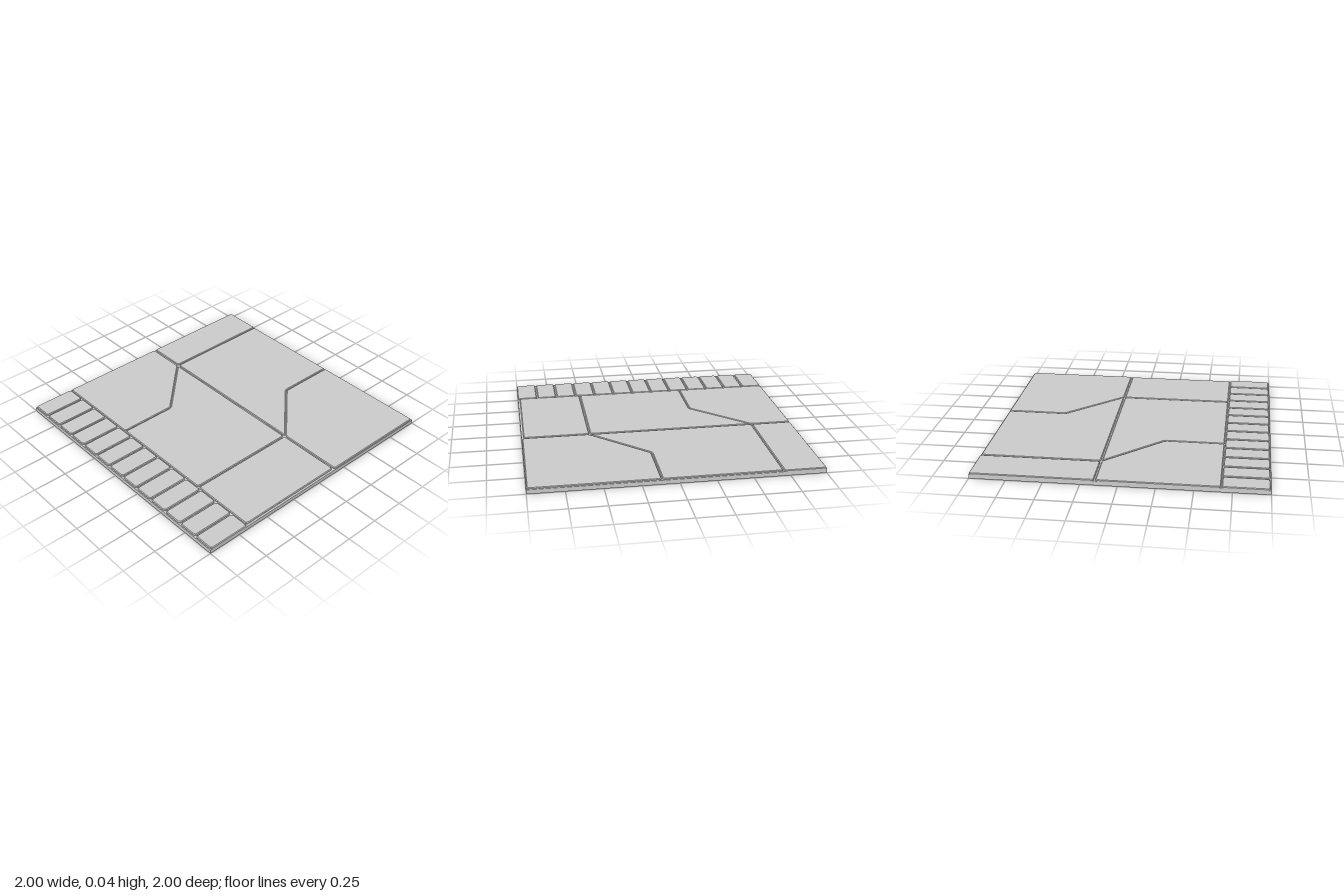
import * as THREE from 'three';

const TOP = 0.04, SLAB = 0.03, BEVEL = 0.005, CUT = 0.012;
const material = new THREE.MeshStandardMaterial({ color: 0xcccccc, flatShading: true });

// Outline in [x, z] with every corner clipped by a small chamfer
function clippedShape(points) {
  const shape = [];
  points.forEach(([x, z], i) => {
    const p = new THREE.Vector2(x, -z);
    for (const step of [-1, 1]) {
      const [nx, nz] = points[(i + step + points.length) % points.length];
      const dir = new THREE.Vector2(nx, -nz).sub(p).normalize();
      shape.push(p.clone().addScaledVector(dir, CUT));
    }
  });
  return new THREE.Shape(shape);
}

// Raised panel with a bevelled rim, sunk slightly into the slab
function panel(name, points) {
  const base = SLAB - BEVEL;
  const geometry = new THREE.ExtrudeGeometry(clippedShape(points), {
    depth: TOP - base - 2 * BEVEL, bevelEnabled: true, bevelSegments: 1,
    bevelSize: BEVEL, bevelThickness: BEVEL, bevelOffset: -BEVEL,
  });
  geometry.rotateX(-Math.PI / 2).translate(0, base + BEVEL, 0);
  const mesh = new THREE.Mesh(geometry, material);
  mesh.name = name;
  return mesh;
}

const rect = (x0, x1, z0, z1) => [[x0, z0], [x1, z0], [x1, z1], [x0, z1]];

export function createModel() {
  const model = new THREE.Group();
  model.name = 'floorTile';

  // Base slab
  const slab = new THREE.Mesh(new THREE.BoxGeometry(2, SLAB, 2), material);
  slab.position.y = SLAB / 2;
  slab.name = 'baseSlab';
  model.add(slab);

  // Back row of large panels
  model.add(
    panel('backLeftPanel', rect(-1, -0.708, -1, -0.158)),
    panel('backMiddlePanel', [[-0.7, -0.995], [0.113, -0.995], [0.113, -0.558], [0.506, -0.158], [-0.7, -0.158]]),
    panel('backRightPanel', [[0.121, -0.995], [0.995, -0.995], [0.995, -0.158], [0.514, -0.158], [0.121, -0.56]]),
  );

  // Front row of large panels
  model.add(
    panel('frontLeftPanel', [[-1, -0.147], [-0.704, -0.147], [-0.314, 0.248], [-0.314, 0.675], [-1, 0.675]]),
    panel('frontMiddlePanel', [[-0.695, -0.147], [0.502, -0.147], [0.502, 0.674], [-0.308, 0.674], [-0.308, 0.246]]),
    panel('frontRightPanel', rect(0.511, 0.985, -0.147, 0.674)),
  );

  // Border strip of small tiles along the front edge
  const border = new THREE.Group();
  border.name = 'frontBorder';
  const count = 13, pitch = 2 / count, gap = 0.005;
  for (let i = 0; i < count; i++) {
    const x0 = -1 + i * pitch + (i ? gap : 0);
    const x1 = -1 + (i + 1) * pitch - (i < count - 1 ? gap : 0);
    border.add(panel('borderTile', rect(x0, x1, 0.681, 0.993)));
  }
  model.add(border);
  return model;
}
